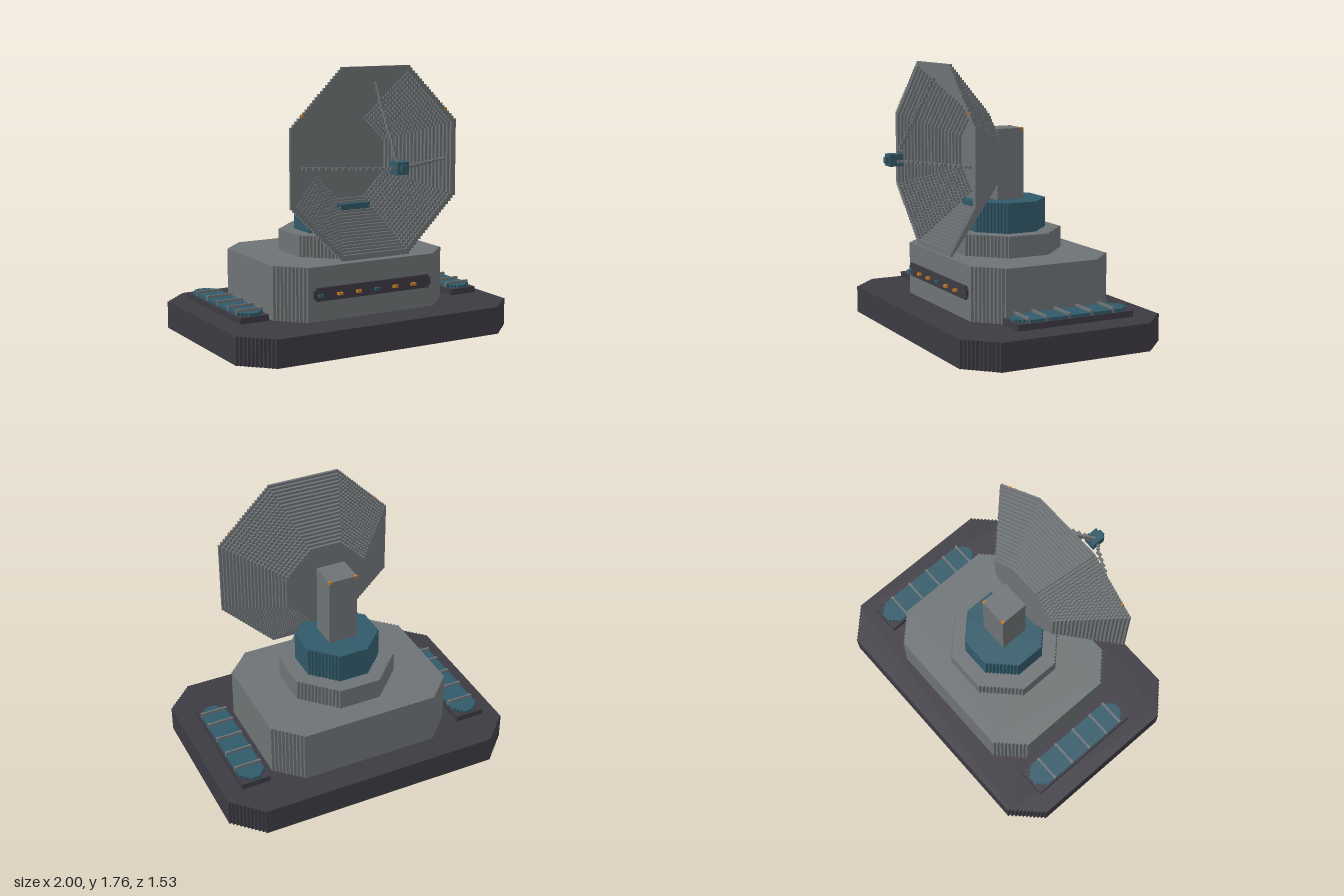
import * as THREE from 'three';

const V = 0.0175; // size of one block step

const paint = (name, color) => {
  const m = new THREE.MeshStandardMaterial({ color });
  m.name = name;
  return m;
};

// Rectangle whose corners are cut off in small square stairs
function steppedPoints(hx, hy, cut) {
  const n = Math.max(1, Math.round(cut / V)), s = cut / n;
  const corner = [];
  for (let k = 0; k <= n; k++) {
    corner.push([hx - k * s, hy - cut + k * s]);
    if (k < n) corner.push([hx - (k + 1) * s, hy - cut + k * s]);
  }
  const flipped = [...corner].reverse();
  return [
    ...corner,
    ...flipped.map(([x, y]) => [-x, y]),
    ...corner.map(([x, y]) => [-x, -y]),
    ...flipped.map(([x, y]) => [x, -y]),
  ].map(([x, y]) => new THREE.Vector2(x, y));
}

const OCT = 0.586; // corner cut of a regular octagon, per unit of radius

export function createModel() {
  const root = new THREE.Group();
  root.name = 'radarStation';
  const gray = paint('gray metal', 0x6e7375);
  const dark = paint('dark metal', 0x3d3b43);
  const teal = paint('teal metal', 0x315a69);
  const orange = paint('orange light', 0xc47a26);

  const add = (name, geometry, material, x, y, z, parent = root) => {
    const mesh = new THREE.Mesh(geometry, material);
    mesh.name = name;
    mesh.position.set(x, y, z);
    parent.add(mesh);
    return mesh;
  };
  const block = (name, material, w, h, d, x, y, z, parent) =>
    add(name, new THREE.BoxGeometry(w, h, d), material, x, y, z, parent);
  const extrude = (shape, depth) => new THREE.ExtrudeGeometry(shape, { depth, bevelEnabled: false });
  // Flat-lying stepped slab between heights y0 and y1
  const slab = (name, material, hx, hz, cut, y0, y1, x, z, parent) =>
    add(name, extrude(new THREE.Shape(steppedPoints(hx, hz, cut)), y1 - y0).rotateX(-Math.PI / 2),
      material, x, y0, z, parent);

  // Base, body and turret
  slab('base', dark, 1, 0.705, 0.18, 0, 0.18, 0, -0.062);
  slab('body', gray, 0.63, 0.492, 0.16, 0.18, 0.53, 0, -0.098);
  slab('turretRing', gray, 0.352, 0.352, 0.352 * OCT, 0.53, 0.67, 0, -0.08);
  slab('turret', teal, 0.255, 0.255, 0.255 * OCT, 0.67, 0.868, 0, -0.08);

  // Mast with two lights on its rear top corners
  block('mast', gray, 0.194, 0.467, 0.19, 0, 1.1, -0.08);
  for (const s of [-1, 1]) block('mastLight', orange, V, V, V, s * 0.089, 1.3265, -0.1675);

  // Dish: solid back layer, then widening rings
  const dish = new THREE.Group();
  dish.name = 'dish';
  dish.position.set(0, 1.16, 0.083);
  root.add(dish);
  const layers = 20, depth = 0.347 / layers;
  for (let i = 0; i < layers; i++) {
    const r = 0.28 + (0.325 * i) / (layers - 1), inner = r - 2 * V;
    const shape = new THREE.Shape(steppedPoints(r, r, r * OCT));
    if (i > 0) shape.holes.push(new THREE.Path(steppedPoints(inner, inner, inner * OCT)));
    add(i ? 'dishRing' : 'dishBack', extrude(shape, depth), gray, 0, 0, i * depth, dish);
  }
  for (const s of [-1, 1]) block('rimLight', orange, V, V, V, s * 0.522, 1.478, 0.4225);

  // Feed horn and its three stair-stepped struts
  block('feedHorn', teal, 0.08, 0.077, 0.092, 0, 1.161, 0.699);
  block('feedTip', teal, 0.04, 0.04, 0.02, 0, 1.161, 0.755);
  const strut = (name, dx, dy) => {
    const n = 28, from = 0.515, to = 0.03;
    for (let i = 0; i < n; i++) {
      const t = i / (n - 1), r = from + (to - from) * t;
      const z = 0.425 + Math.round((0.265 * t) / V) * V;
      block(name, gray, V, V, V * 1.1, dx * r, 1.155 + dy * (r - 0.01), z);
    }
  };
  strut('leftStrut', 1, 0);
  strut('rightStrut', -1, 0);
  strut('topStrut', 0, 1);

  // Front panel with a row of lamps
  add('panel', extrude(new THREE.Shape(steppedPoints(0.435, 0.043, V)), 0.017), dark, 0, 0.355, 0.394);
  [teal, orange, orange, teal, orange, orange].forEach((m, i) =>
    block('panelLamp', m, 0.034, V, 0.022, -0.39 + i * 0.137, 0.35, 0.42));

  // Ribbed racks on either side
  for (const s of [-1, 1]) {
    const rack = new THREE.Group();
    rack.name = s > 0 ? 'leftRack' : 'rightRack';
    rack.position.set(s * 0.784, 0, -0.123);
    root.add(rack);
    block('rackTray', dark, 0.196, 0.04, 0.816, 0, 0.22, 0, rack);
    slab('rackCell', teal, 0.088, 0.396, 0.053, 0.24, 0.258, 0, 0, rack);
    for (const z of [-0.39, -0.232, -0.075, 0.082, 0.205]) {
      block('rib', gray, 0.176, 0.034, 0.012, 0, 0.257, z + 0.123, rack);
      for (const e of [-1, 1]) block('ribEnd', gray, 0.02, 0.034, V, e * 0.08, 0.257, z + 0.123, rack);
    }
  }
  return root;
}
